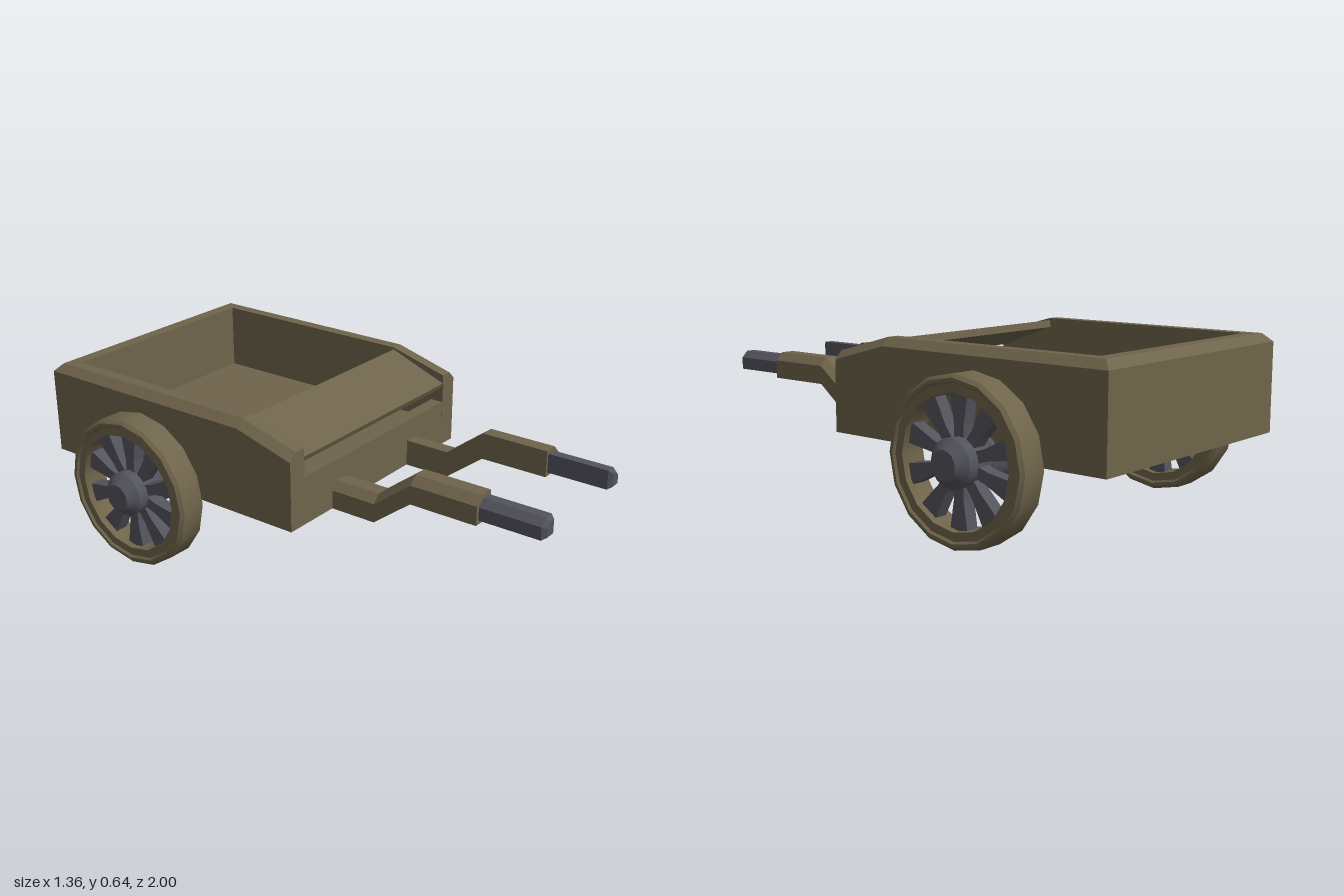
import * as THREE from 'three';
import { toCreasedNormals } from 'three/addons/utils/BufferGeometryUtils.js';

const wood = new THREE.MeshStandardMaterial({ color: 0x6f644b });
wood.name = 'weathered wood';
const iron = new THREE.MeshStandardMaterial({ color: 0x53535d });
iron.name = 'dark iron';

// Skin convex cross-sections (rings of [x, y, z]) into a closed, flat-faced solid; side -1 mirrors it in x
function loft(rings, side = 1) {
  const pos = [];
  const tri = (a, b, c) => {
    for (const p of side > 0 ? [a, b, c] : [a, c, b]) pos.push(p[0] * side, p[1], p[2]);
  };
  const n = rings[0].length, last = rings[rings.length - 1];
  for (let r = 0; r < rings.length - 1; r++) {
    const A = rings[r], B = rings[r + 1];
    for (let i = 0; i < n; i++) {
      const j = (i + 1) % n;
      tri(A[i], B[i], A[j]);
      tri(A[j], B[i], B[j]);
    }
  }
  for (let i = 1; i < n - 1; i++) {
    tri(rings[0][0], rings[0][i], rings[0][i + 1]);
    tri(last[0], last[i + 1], last[i]);
  }
  const g = new THREE.BufferGeometry();
  g.setAttribute('position', new THREE.Float32BufferAttribute(pos, 3));
  g.computeVertexNormals();
  return g;
}

// Extrude a [z, y] profile across the cart's width
const across = (profile, half) => loft([half, -half].map(x => profile.map(([z, y]) => [x, y, z])));

// Rectangle with its upper outer corner cut off
const cutBar = (x0, x1, y0, y1, cut, z) => [
  [x0, y0, z], [x1, y0, z], [x1, y1 - cut, z], [x1 - cut, y1, z], [x0, y1, z]];

function add(parent, name, geometry, material) {
  const mesh = new THREE.Mesh(geometry, material);
  mesh.name = name;
  parent.add(mesh);
  return mesh;
}

const lathe = (pts) => toCreasedNormals(
  new THREE.LatheGeometry(pts.map(p => new THREE.Vector2(...p)), 16), 0.6);

// Wheel built around local y, outer side towards +y
function makeWheel() {
  const wheel = new THREE.Group();
  add(wheel, 'rim', lathe([
    [0.225, -0.05], [0.255, -0.05], [0.262, -0.058], [0.273, -0.058], [0.285, -0.046],
    [0.285, 0.046], [0.273, 0.058], [0.262, 0.058], [0.255, 0.05], [0.225, 0.05], [0.225, -0.05]]), wood);
  add(wheel, 'hub', lathe([
    [0, -0.058], [0.083, -0.058], [0.083, 0.065], [0.05, 0.1], [0, 0.1]]), iron);

  // Spokes flare towards the rim
  const s = new THREE.Shape([[-0.02, 0.06], [0.02, 0.06], [0.02, 0.12], [0.038, 0.235],
    [-0.038, 0.235], [-0.02, 0.12]].map(p => new THREE.Vector2(...p)));
  const spoke = new THREE.ExtrudeGeometry(s, { depth: 0.05, bevelEnabled: false });
  spoke.translate(0, 0, -0.025);
  spoke.rotateX(-Math.PI / 2);
  for (let i = 0; i < 10; i++) {
    add(wheel, 'spoke', spoke, iron).rotation.y = Math.PI / 2 + i * Math.PI / 5;
  }
  return wheel;
}

export function createModel() {
  const cart = new THREE.Group();
  cart.name = 'handcart';

  // Cart bed
  const floor = add(cart, 'floor', new THREE.BoxGeometry(0.86, 0.1, 1.085), wood);
  floor.position.set(0, 0.335, -0.3775);
  add(cart, 'backWall', across(
    [[-0.92, 0.285], [-1, 0.285], [-1, 0.61], [-0.97, 0.64], [-0.92, 0.64]], 0.43), wood);
  add(cart, 'seat', across(
    [[0.155, 0.52], [-0.075, 0.605], [-0.07, 0.632], [0.165, 0.542]], 0.43), wood);
  const board = add(cart, 'frontBoard', new THREE.BoxGeometry(0.86, 0.08, 0.05), wood);
  board.position.set(0, 0.425, 0.139);

  // Axle
  const axle = add(cart, 'axle', new THREE.CylinderGeometry(0.085, 0.085, 1.06, 16), iron);
  axle.rotation.z = Math.PI / 2;
  axle.position.set(0, 0.285, -0.505);

  for (const side of [1, -1]) {
    const label = side > 0 ? 'left' : 'right';

    // Side wall, lower at the front and mitred at the back
    const wall = [[0.165, 0.575], [-0.07, 0.64], [-0.97, 0.64]]
      .map(([z, top]) => cutBar(0.43, 0.505, 0.285, top, 0.03, z));
    wall.push([[0.43, 0.285, -1], [0.505, 0.285, -1], [0.505, 0.61, -1], [0.505, 0.61, -1], [0.43, 0.61, -1]]);
    add(cart, label + 'Wall', loft(wall, side), wood);

    // Cranked shaft with an iron grip
    const shaft = [[0.755, 0.4], [0.495, 0.4], [0.345, 0.285], [0.16, 0.285]]
      .map(([z, y]) => cutBar(0.19, 0.275, y, y + 0.1, 0.03, z));
    add(cart, label + 'Shaft', loft(shaft, side), wood);
    add(cart, label + 'Grip', loft([
      cutBar(0.21, 0.25, 0.425, 0.475, 0.018, 1),
      cutBar(0.2, 0.262, 0.415, 0.487, 0.025, 0.985),
      cutBar(0.2, 0.262, 0.415, 0.487, 0.025, 0.75)], side), iron);

    const wheel = makeWheel();
    wheel.name = label + 'Wheel';
    wheel.rotation.z = -side * Math.PI / 2;
    wheel.position.set(side * 0.58, 0.285, -0.505);
    cart.add(wheel);
  }
  return cart;
}
